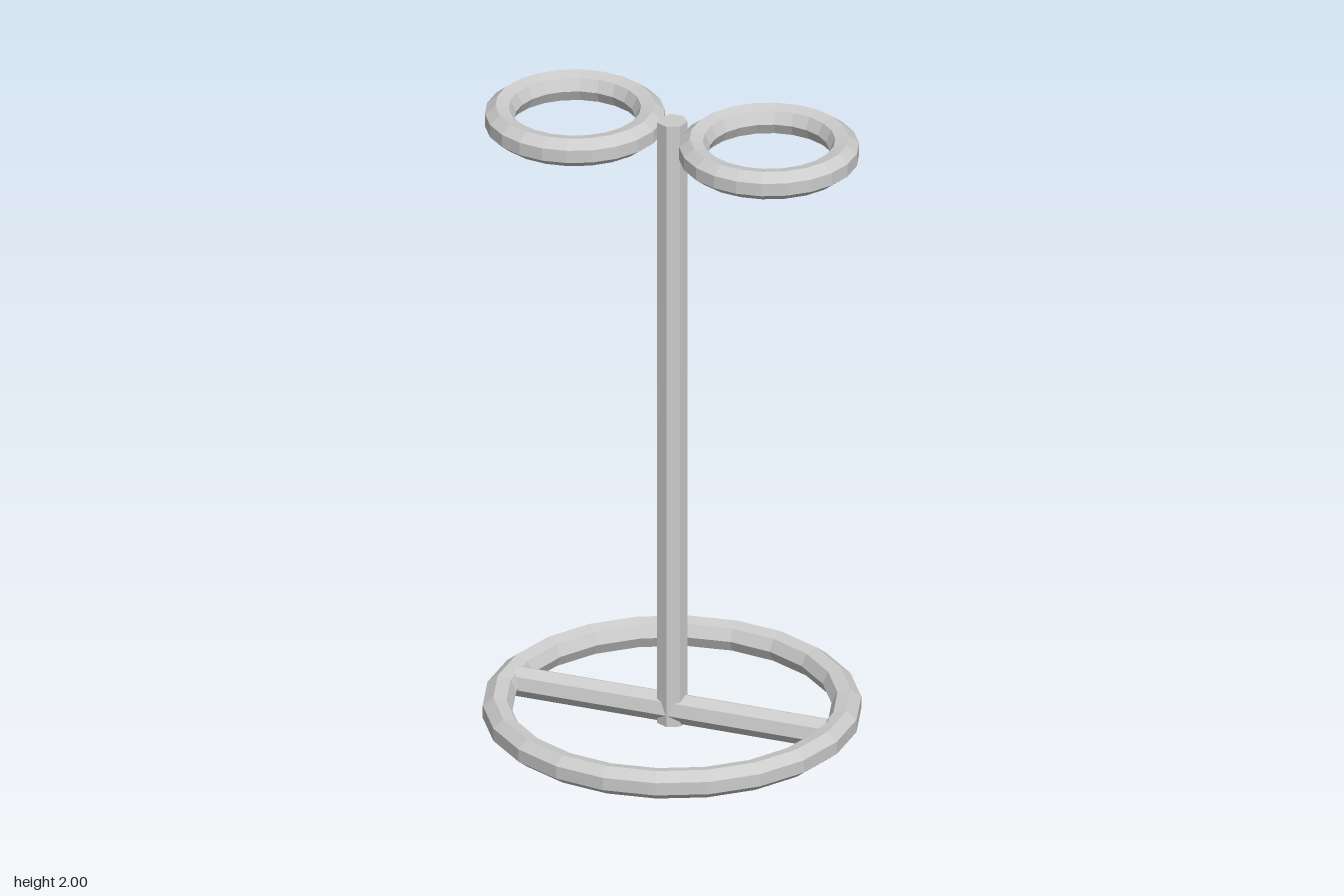
import * as THREE from 'three';

const SIDES = 7;        // sides of every bar
const R = 0.047;        // bar radius
const RING_STEPS = 22;  // segments around each ring

export function createModel() {
  const group = new THREE.Group();
  const material = new THREE.MeshStandardMaterial({ color: 0xcccccc, flatShading: true });

  const add = (name, geometry, x, y, z) => {
    const mesh = new THREE.Mesh(geometry, material);
    mesh.name = name;
    mesh.position.set(x, y, z);
    group.add(mesh);
  };

  // Seven-sided ring whose section has one corner pointing inward
  const ring = (radius) => {
    const profile = [];
    for (let i = 0; i <= SIDES; i++) {
      const a = Math.PI + (i / SIDES) * Math.PI * 2;
      profile.push(new THREE.Vector2(radius + R * Math.cos(a), R * Math.sin(a)));
    }
    return new THREE.LatheGeometry(profile, RING_STEPS);
  };

  // Base: ring on the floor with a crossbar, one corner of the bar upward
  add('baseRing', ring(0.526), 0, 0.046, 0);
  const bar = new THREE.CylinderGeometry(R, R, 1.0, SIDES);
  bar.rotateX(-Math.PI / 2).rotateY(Math.PI / 2);
  add('baseCrossbar', bar, 0, 0.047, 0);

  // Upright pole
  add('pole', new THREE.CylinderGeometry(R, R, 2, SIDES), 0, 1, 0);

  // Pair of holder rings at the top
  for (const side of [1, -1]) {
    add(side > 0 ? 'leftHolderRing' : 'rightHolderRing', ring(0.228), side * 0.3125, 1.954, 0);
  }

  return group;
}
